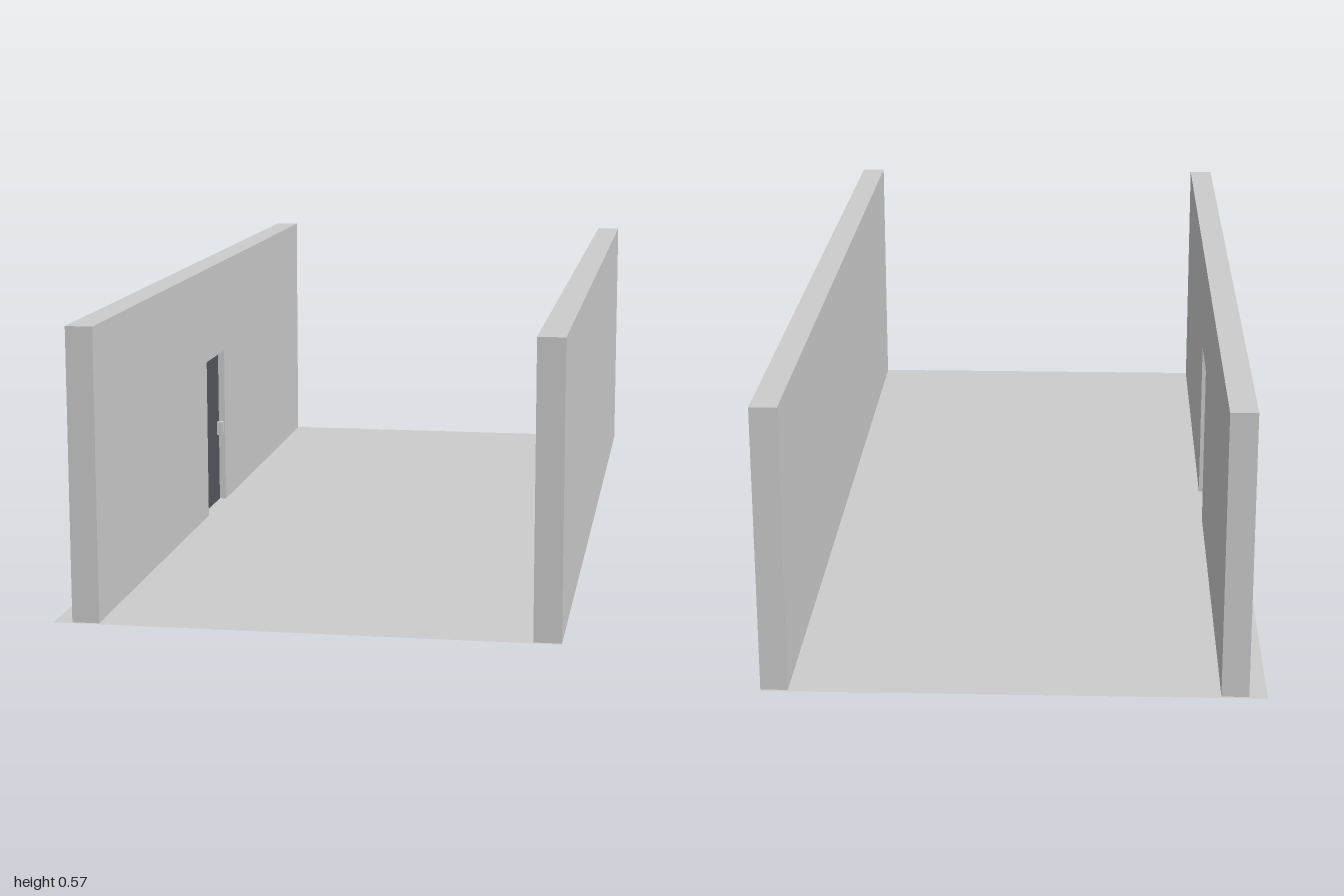
import * as THREE from 'three';

const HEIGHT = 0.573, THICK = 0.053, HALF = 0.994;
const DOOR_HALF = 0.089, DOOR_HEIGHT = 0.36;
const LEFT_X = 0.459, RIGHT_X = -0.4235; // wall centre lines

export function createModel() {
  const group = new THREE.Group();
  const grey = new THREE.MeshStandardMaterial({ color: 0xcccccc });
  const greyDouble = new THREE.MeshStandardMaterial({ color: 0xcccccc, side: THREE.DoubleSide });
  const dark = new THREE.MeshStandardMaterial({ color: 0x55585f });

  const add = (name, geometry, material, x, y, z) => {
    const mesh = new THREE.Mesh(geometry, material);
    mesh.name = name;
    mesh.position.set(x, y, z);
    group.add(mesh);
    return mesh;
  };

  // thin floor sheet
  add('floor', new THREE.PlaneGeometry(0.97, 2).rotateX(-Math.PI / 2), greyDouble, 0, 0.001, 0);

  // solid wall
  add('leftWall', new THREE.BoxGeometry(THICK, HEIGHT, HALF * 2), grey, LEFT_X, HEIGHT / 2, 0);

  // wall with a doorway notched out of its lower edge
  const outline = new THREE.Shape([
    [-HALF, 0], [-DOOR_HALF, 0], [-DOOR_HALF, DOOR_HEIGHT], [DOOR_HALF, DOOR_HEIGHT],
    [DOOR_HALF, 0], [HALF, 0], [HALF, HEIGHT], [-HALF, HEIGHT],
  ].map(([z, y]) => new THREE.Vector2(z, y)));
  const wall = new THREE.ExtrudeGeometry(outline, { depth: THICK, bevelEnabled: false });
  wall.translate(0, 0, -THICK / 2).rotateY(-Math.PI / 2);
  add('rightWall', wall, grey, RIGHT_X, 0, 0);

  // door leaf recessed in the doorway
  add('door', new THREE.BoxGeometry(0.023, DOOR_HEIGHT, DOOR_HALF * 2), dark,
    RIGHT_X, DOOR_HEIGHT / 2, 0);

  // small handle on each face of the door
  for (const side of [1, -1]) {
    add('doorHandle', new THREE.BoxGeometry(0.013, 0.03, 0.018), grey,
      RIGHT_X + side * 0.018, 0.175, -0.077);
  }

  return group;
}
